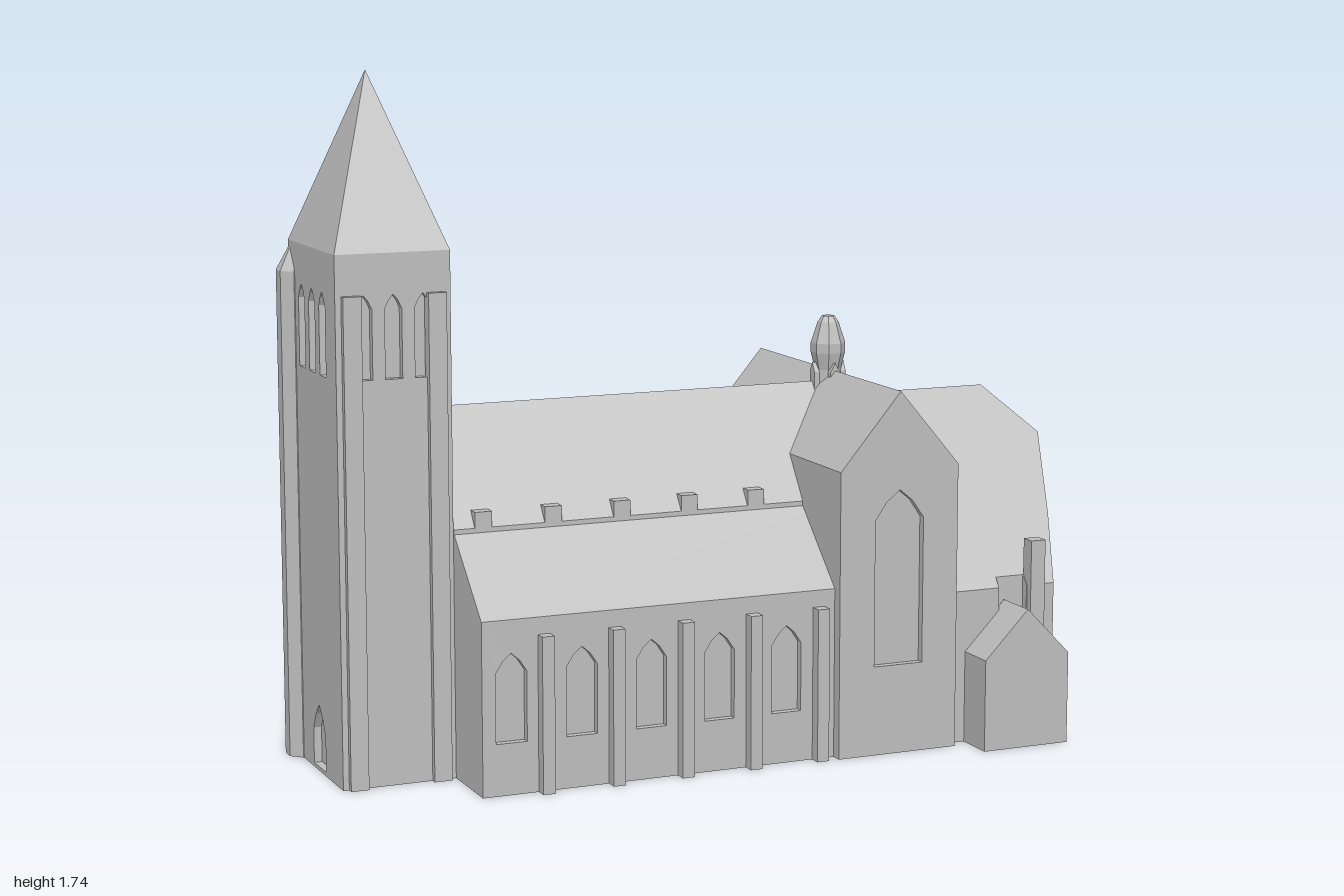
import * as THREE from 'three';

const C = -0.037;  // z of the long axis
const D = 0.02;    // depth of the window recesses

export function createModel() {
  const root = new THREE.Group();
  const stone = new THREE.MeshStandardMaterial({ color: 0xbebebe });
  stone.name = 'stone grey';

  // Adds a mesh with hard-edged faces
  function add(name, geo, x = 0, y = 0, z = 0, rotY = 0) {
    const g = geo.index ? geo.toNonIndexed() : geo;
    g.computeVertexNormals();
    const m = new THREE.Mesh(g, stone);
    m.name = name;
    m.position.set(x, y, z);
    m.rotation.y = rotY;
    root.add(m);
    return m;
  }
  const v2 = (pts) => pts.map(([x, y]) => new THREE.Vector2(x, y));

  // Box from its limits on each axis
  function box(name, x0, x1, y0, y1, z0, z1) {
    add(name, new THREE.BoxGeometry(x1 - x0, y1 - y0, z1 - z0), (x0 + x1) / 2, (y0 + y1) / 2, (z0 + z1) / 2);
  }

  // Pointed window outline
  const arch = (cx, w, y0, spring, top) => [
    [cx - w / 2, y0], [cx + w / 2, y0], [cx + w / 2, spring],
    [cx + w * 0.27, (spring + top) / 2 + (top - spring) * 0.1], [cx, top],
    [cx - w * 0.27, (spring + top) / 2 + (top - spring) * 0.1], [cx - w / 2, spring]];

  // Flat outline with holes, extruded
  function slab(outline, depth, holes = []) {
    const s = new THREE.Shape(v2(outline));
    holes.forEach((h) => s.holes.push(new THREE.Path(v2(h))));
    return new THREE.ExtrudeGeometry(s, { depth, bevelEnabled: false });
  }
  const rect = (hw, h) => [[-hw, 0], [hw, 0], [hw, h], [-hw, h]];
  const mirrored = (half) => [...half, ...half.map(([x, y]) => [-x, y]).reverse().filter(([x]) => x !== 0)];

  // Tower: core, four pierced faces, corner strips and spire
  const tx = -0.825, thx = 0.145, thz = 0.192, th = 1.31;
  box('towerCore', tx - thx + D, tx + thx - D, 0, th, C - thz + D, C + thz - D);
  const belfry = (gap, w) => [-gap, 0, gap].map((c) => arch(c, w, 1.005, 1.175, 1.21));
  for (const s of [1, -1]) {
    add('towerWall', slab(rect(thx, th), D, belfry(0.075, 0.043)), tx, 0, C + s * (thz - D), s > 0 ? 0 : Math.PI);
    const holes = belfry(0.085, 0.05);
    if (s < 0) holes.push(arch(0, 0.1, 0.01, 0.1, 0.17));
    add('towerSideWall', slab(rect(thz, th), D, holes), tx + s * (thx - D), 0, C, s * Math.PI / 2);
    for (const k of [-1, 1]) {
      if (s < 0 && k < 0) continue;
      const x = tx + k * 0.107, z = C + s * thz;
      box('towerStrip', x - 0.023, x + 0.023, 0, 1.21, z - 0.016, z + 0.016);
    }
  }
  const spire = new THREE.ConeGeometry(Math.SQRT1_2, 1, 4, 1).rotateY(Math.PI / 4);
  spire.scale(thx * 2, 0.425, thz * 2);
  add('spire', spire, tx, th + 0.2125, C);

  // Stair turret on the tower corner
  const oct = Math.PI / 8;
  add('stairTurret', new THREE.CylinderGeometry(0.05, 0.05, 1.235, 8).rotateY(oct), -0.953, 0.6175, -0.222);
  add('turretCap', new THREE.ConeGeometry(0.05, 0.09, 8).rotateY(oct), -0.953, 1.28, -0.222);

  // Nave with lean-to aisles
  const hw = 0.387, n0 = -0.68, n1 = 0.26;
  const nave = mirrored([[hw - D, 0], [hw - D, 0.42], [hw, 0.42], [hw, 0.435], [0.198, 0.613], [0.198, 0.625], [0, 0.9]]);
  add('nave', slab(nave, 0.38 - n0), n0, 0, C, Math.PI / 2);
  const bays = [0, 1, 2, 3, 4];
  const mid = (n0 + n1) / 2;
  for (const s of [1, -1]) {
    const holes = bays.map((i) => arch(s * (-0.605 + i * 0.183 - mid), 0.08, 0.13, 0.305, 0.352));
    add('aisleWall', slab(rect((n1 - n0) / 2, 0.42), D, holes), mid, 0, C + s * (hw - D), s > 0 ? 0 : Math.PI);
    for (const i of bays) {
      const bx = -0.52 + i * 0.184, bz = C + s * (hw + 0.005);
      box('buttress', bx - 0.016, bx + 0.016, 0, 0.392, bz - 0.026, bz + 0.026);
      const dx = -0.605 + i * 0.183, dz = C + s * 0.183;
      box('roofVent', dx - 0.022, dx + 0.022, 0.625, 0.665, dz - 0.018, dz + 0.018);
    }
  }

  // Transept with a tall window in each gable
  const cx = 0.425, gh = 0.417;
  const gable = [[-0.165, 0], [0.165, 0], [0.165, 0.735], [0, 0.93], [-0.165, 0.735]];
  add('transept', slab(gable, 2 * (gh - D)), cx, 0, C - gh + D);
  for (const s of [1, -1]) {
    add('transeptGable', slab(gable, D, [arch(0, 0.135, 0.23, 0.605, 0.68)]),
      cx, 0, C + s * (gh - D), s > 0 ? 0 : Math.PI);
  }

  // Choir with a faceted end, its walls cut off by the pitched roof
  const ridge = 0.86, pitch = 1.2, start = 0.545, hip = [0.88, ridge, 0];
  const side = [[start, hw - D], [0.83, hw - D], [0.83, hw], [0.89, hw], [0.945, 0.257], [1, 0.1], [1 - D, 0.1]];
  const ring = [...side, ...side.map(([x, z]) => [x, -z]).reverse()];
  const top = ([x, z]) => [x, ridge - pitch * Math.abs(z), z];
  const low = ([x, z]) => [x, 0, z];
  const pos = [];
  const tri = (...p) => p.forEach((q) => pos.push(...q));
  ring.forEach((a, i) => {
    const b = ring[(i + 1) % ring.length];
    tri(low(a), low(b), top(b));
    tri(low(a), top(b), top(a));
    tri(low(b), low(a), [0.7, 0, 0]);
    if (i < ring.length - 1) tri(top(a), top(b), hip);
  });
  const r0 = [start, ridge, 0], first = ring[0], last = ring[ring.length - 1];
  tri(top(first), hip, r0);
  tri(top(last), r0, hip);
  tri(top(last), top(first), r0);
  const choir = new THREE.BufferGeometry();
  choir.setAttribute('position', new THREE.Float32BufferAttribute(pos, 3));
  add('choir', choir, 0, 0, C);
  add('choirEndWall', slab(rect(0.1, 0.74), D, [arch(0, 0.085, 0.225, 0.595, 0.637)]), 1 - D, 0, C, Math.PI / 2);

  // Choir side walls, notched by a window under the eave
  for (const s of [1, -1]) {
    const m = 0.6875;
    const outline = [[start, 0], [0.83, 0], [0.83, 0.42], [0.81, 0.42], [0.81, 0.26], [0.73, 0.26], [0.73, 0.42], [start, 0.42]]
      .map(([x, y]) => [s * (x - m), y]);
    const g = slab(outline, D), p = g.attributes.position;
    for (let i = 0; i < p.count; i++) {
      if (p.getY(i) > 0.4) p.setY(i, ridge - pitch * (hw - D + p.getZ(i)));
    }
    add('choirSideWall', g, m, 0, C + s * (hw - D), s > 0 ? 0 : Math.PI);
    const bz = C + s * (hw - 0.001);
    box('choirButtress', 0.812, 0.853, 0, 0.515, bz - 0.02, bz + 0.02);
  }

  // Side porch
  add('porch', slab([[-0.12, 0], [0.12, 0], [0.12, 0.237], [0, 0.36], [-0.12, 0.237]], 0.125), 0.753, 0, 0.335);

  // Small lantern over the crossing
  const lantern = [[0.034, 0.89], [0.034, 0.93], [0.045, 0.975], [0.045, 1.0], [0.027, 1.055], [0.016, 1.07], [0, 1.07]];
  add('lantern', new THREE.LatheGeometry(v2(lantern), 8, oct), cx, 0, C);
  for (let i = 0; i < 4; i++) {
    const a = i * Math.PI / 2;
    add('lanternGable', slab([[-0.014, 0.88], [0.014, 0.88], [0.014, 0.925], [0, 0.95], [-0.014, 0.925]], 0.045),
      cx, 0, C, a);
  }
  return root;
}
